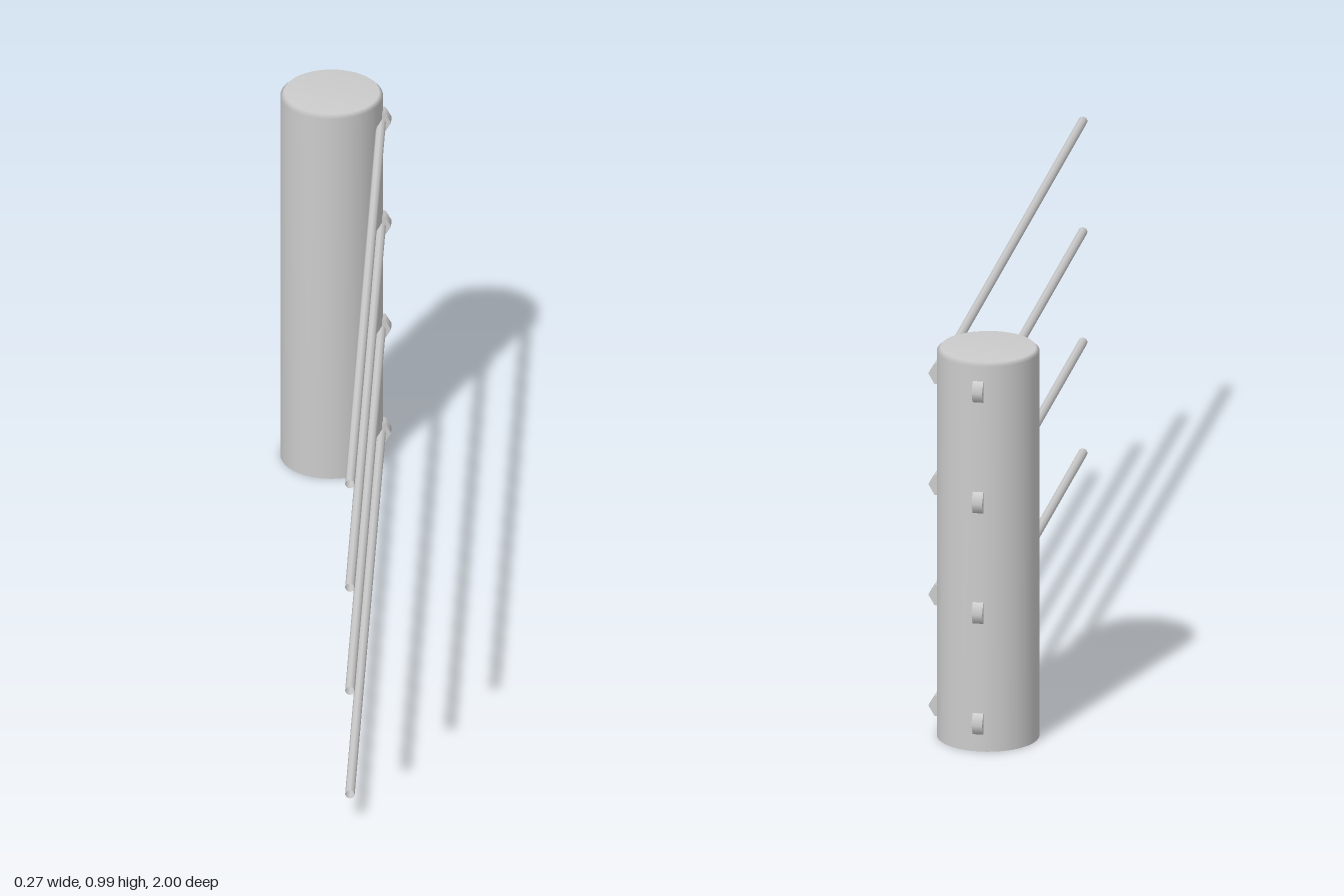
import * as THREE from 'three';

const POST = { x: -0.012, z: -0.857, r: 0.123, h: 0.985 };
const LEVELS = [0.071, 0.352, 0.632, 0.913];

export function createModel() {
  const model = new THREE.Group();
  model.name = 'fencePost';
  const mat = new THREE.MeshStandardMaterial({ color: 0xcccccc });
  const thin = new THREE.MeshStandardMaterial({ color: 0xcccccc, side: THREE.DoubleSide });

  const add = (name, geometry, material, x, y, z) => {
    const mesh = new THREE.Mesh(geometry, material);
    mesh.name = name;
    mesh.position.set(x, y, z);
    model.add(mesh);
  };

  // Round post: open underneath, small bevel around the top
  const profile = [[POST.r, 0], [POST.r, 0.976], [POST.r - 0.009, POST.h], [0, POST.h]]
    .map(([r, y]) => new THREE.Vector2(r, y));
  add('post', new THREE.LatheGeometry(profile, 40), thin, POST.x, 0, POST.z);

  // Open-ended wire running forward along z
  const wireLength = 1.855;
  const wire = new THREE.CylinderGeometry(0.0115, 0.0115, wireLength, 8, 1, true);
  wire.rotateX(Math.PI / 2);

  // Six-sided clamps: one lies along z with a corner towards +x,
  // the other lies along x with a corner towards -z
  const sideClamp = new THREE.CylinderGeometry(0.03, 0.03, 0.033, 6);
  sideClamp.rotateY(Math.PI / 2).rotateX(Math.PI / 2);
  const backClamp = new THREE.CylinderGeometry(0.03, 0.03, 0.026, 6);
  backClamp.rotateZ(Math.PI / 2);

  LEVELS.forEach((y, i) => {
    add(`wire${i + 1}`, wire, thin, 0.107, y, 1 - wireLength / 2);
    add(`sideClamp${i + 1}`, sideClamp, mat, 0.101, y, -0.856);
    add(`backClamp${i + 1}`, backClamp, mat, -0.011, y, -0.97);
  });
  return model;
}
